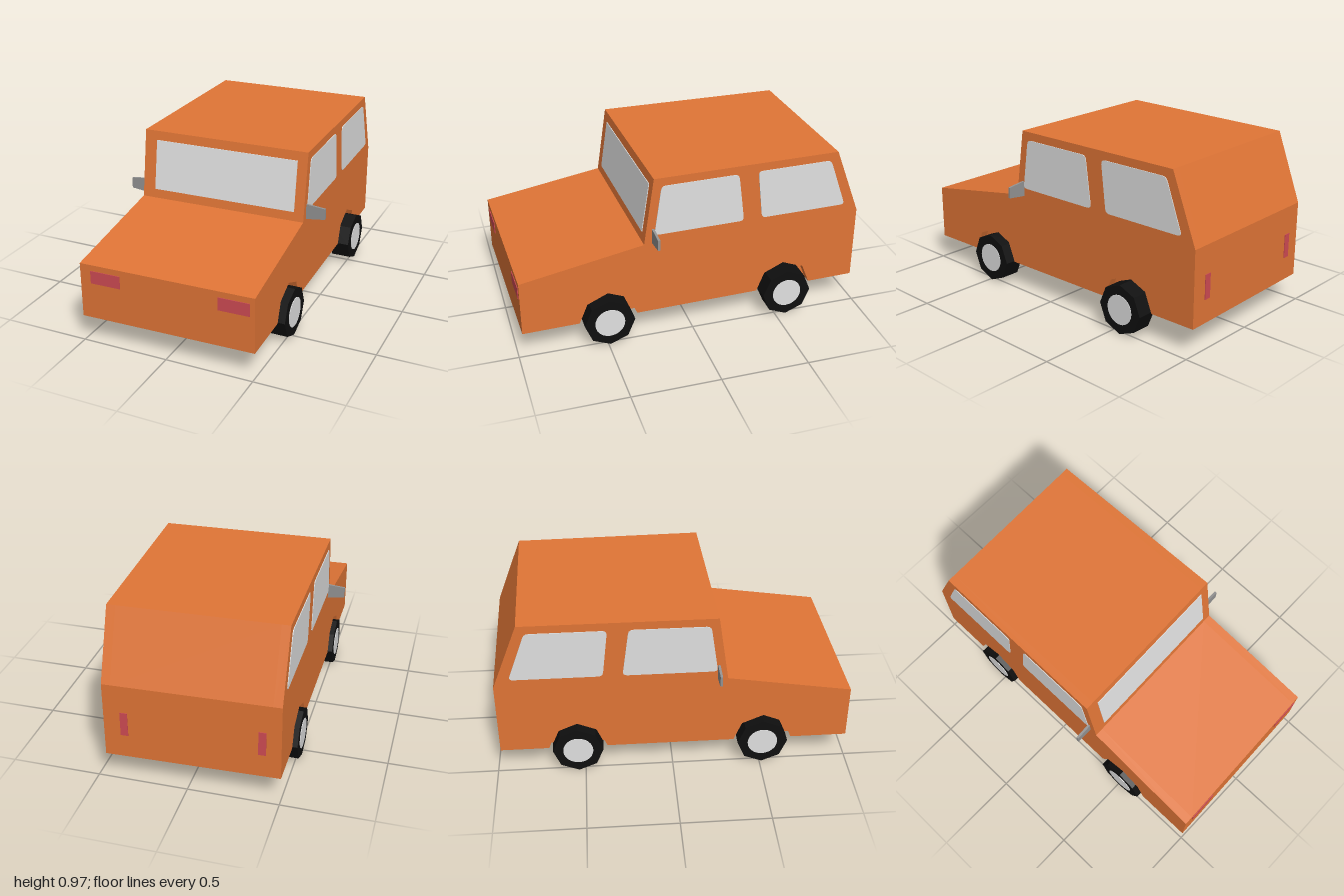
import * as THREE from 'three';

const mat = (name, color) => {
  const m = new THREE.MeshStandardMaterial({ color });
  m.name = name;
  return m;
};

// Flat-faced geometry
function faceted(geo) {
  const g = geo.index ? geo.toNonIndexed() : geo;
  g.computeVertexNormals();
  return g;
}

// The body is slightly skewed and narrows to the rear on its left side
function warp(geo) {
  const p = geo.attributes.position;
  for (let i = 0; i < p.count; i++) {
    const x = p.getX(i), z = p.getZ(i);
    const wx = -0.5 + (x + 0.5) * (0.975 + 0.025 * z);
    p.setXYZ(i, wx, p.getY(i), z - 0.026 * wx);
  }
  return faceted(geo);
}

// Side profile of [z, y] points, optionally with rounded corners
function profile(points, radius = 0) {
  const pts = points.map(([z, y]) => new THREE.Vector2(-z, y));
  if (!radius) return new THREE.Shape(pts);
  const s = new THREE.Shape();
  pts.forEach((c, i) => {
    const prev = pts[(i + pts.length - 1) % pts.length];
    const next = pts[(i + 1) % pts.length];
    const a = prev.clone().sub(c).setLength(radius).add(c);
    const b = next.clone().sub(c).setLength(radius).add(c);
    if (i) s.lineTo(a.x, a.y); else s.moveTo(a.x, a.y);
    s.quadraticCurveTo(c.x, c.y, b.x, b.y);
  });
  s.closePath();
  return s;
}

// Profile extruded across the car from x0 to x1
function sidePrism(shape, x0, x1) {
  const g = new THREE.ExtrudeGeometry(shape, { depth: x1 - x0, bevelEnabled: false, curveSegments: 3 });
  g.rotateY(Math.PI / 2).translate(x0, 0, 0);
  return warp(g);
}

export function createModel() {
  const car = new THREE.Group();
  car.name = 'car';
  const paint = mat('orange paint', 0xe07536);
  const glass = mat('pale glass', 0xe0e0e0);
  const red = mat('red lamp', 0xce4a53);
  const grey = mat('grey mirror', 0x939393);
  const rubber = mat('black rubber', 0x0f0f0f);
  const add = (name, geo, material) => {
    const m = new THREE.Mesh(geo, material);
    m.name = name;
    car.add(m);
    return m;
  };

  const wheelZ = [0.5, -0.55], wheelR = 0.143;
  const upper = [[-0.988, 0.15], [-0.988, 0.585], [-0.838, 0.972], [0.232, 0.972], [0.29, 0.583], [0.985, 0.467], [0.985, 0.15]];

  // Body core, then side panels with octagonal wheel arches
  add('bodyCore', sidePrism(profile(upper), -0.45, 0.45), paint);
  const arches = wheelZ.flatMap(z =>
    [[0.165, 0.15], [0.12, 0.263], [0, 0.315], [-0.12, 0.263], [-0.165, 0.15]].map(([dz, y]) => [z + dz, y]));
  const panel = profile([...upper, ...arches]);
  add('rightSidePanel', sidePrism(panel, -0.5, -0.45), paint);
  add('leftSidePanel', sidePrism(panel, 0.45, 0.5), paint);

  // Windscreen
  const slope = y => 0.29 - (y - 0.583) * 0.149;
  add('windscreen', sidePrism(profile([
    [slope(0.635) - 0.004, 0.635], [slope(0.635) + 0.004, 0.635],
    [slope(0.92) + 0.004, 0.92], [slope(0.92) - 0.004, 0.92]]), -0.424, 0.442), glass);

  // Side windows
  const windows = {
    FrontWindow: [[0.232, 0.635], [0.19, 0.925], [-0.25, 0.925], [-0.288, 0.635]],
    RearWindow: [[-0.395, 0.635], [-0.363, 0.925], [-0.798, 0.925], [-0.903, 0.635]],
  };
  for (const [name, pts] of Object.entries(windows)) {
    const shape = profile(pts, 0.025);
    add('left' + name, sidePrism(shape, 0.496, 0.504), glass);
    add('right' + name, sidePrism(shape, -0.504, -0.496), glass);
  }

  // Lamps as thin plates
  const lamp = (name, x0, x1, y0, y1, z) => add(name, sidePrism(
    profile([[z - 0.004, y0], [z + 0.004, y0], [z + 0.004, y1], [z - 0.004, y1]]), x0, x1), red);
  lamp('rightHeadlamp', -0.437, -0.263, 0.36, 0.433, 0.985);
  lamp('leftHeadlamp', 0.298, 0.473, 0.36, 0.433, 0.985);
  lamp('rightTailLamp', -0.416, -0.373, 0.285, 0.424, -0.988);
  lamp('leftTailLamp', 0.361, 0.404, 0.285, 0.424, -0.988);

  for (const side of [-1, 1]) {
    const label = side > 0 ? 'left' : 'right';

    // Tapered door mirror
    const blade = new THREE.Shape([[0.47, 0.583], [0.612, 0.6], [0.612, 0.662], [0.47, 0.677]]
      .map(([x, y]) => new THREE.Vector2(side * (side > 0 ? x : x - 0.012), y)));
    const mirror = new THREE.ExtrudeGeometry(blade, { depth: 0.013, bevelEnabled: false });
    mirror.translate(0, 0, 0.232);
    add(label + 'Mirror', warp(mirror), grey);

    // Eight-sided tyres with round hubs
    wheelZ.forEach((z, i) => {
      const end = i ? 'Rear' : 'Front';
      const zz = z - 0.024 * side * 0.5;
      const tyre = new THREE.CylinderGeometry(wheelR, wheelR, 0.115, 8).rotateZ(Math.PI / 2);
      add(label + end + 'Tyre', faceted(tyre), rubber).position.set(side * 0.4675, wheelR, zz);
      const hub = new THREE.CylinderGeometry(0.085, 0.085, 0.006, 24).rotateZ(Math.PI / 2);
      add(label + end + 'Hub', faceted(hub), glass).position.set(side * 0.525, wheelR, zz);
    });
  }
  return car;
}
